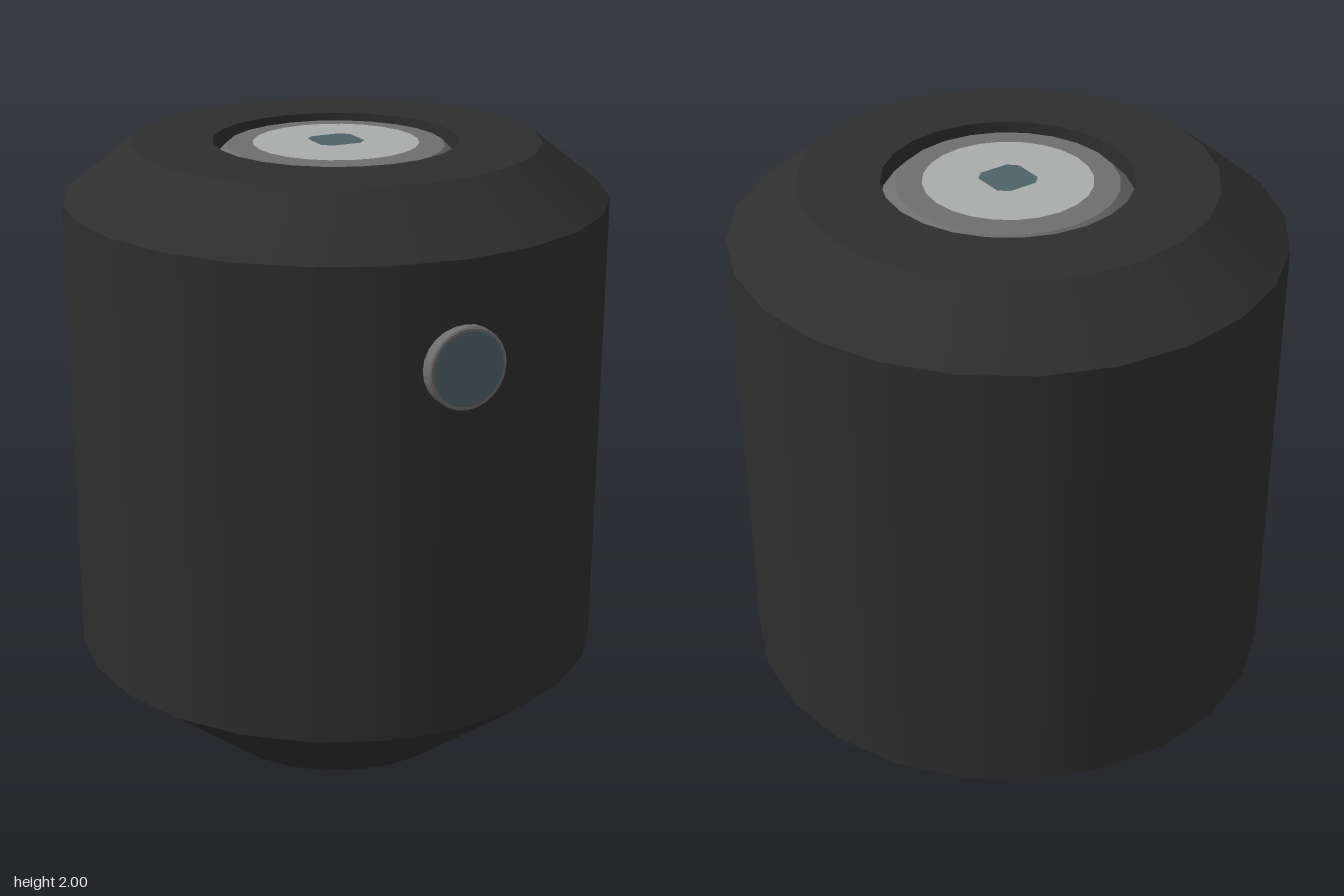
import * as THREE from 'three';
import { mergeGeometries } from 'three/addons/utils/BufferGeometryUtils.js';

const SIDES = 24;

function material(name, color) {
  const m = new THREE.MeshStandardMaterial({ color });
  m.name = name;
  return m;
}

// Lathe whose bands are each smooth around but meet at sharp edges
function turned(profile) {
  const bands = [];
  for (let i = 0; i < profile.length - 1; i++) {
    const pts = [profile[i], profile[i + 1]].map(([r, y]) => new THREE.Vector2(r, y));
    bands.push(new THREE.LatheGeometry(pts, SIDES));
  }
  return mergeGeometries(bands);
}

function part(parent, name, geometry, mat) {
  const mesh = new THREE.Mesh(geometry, mat);
  mesh.name = name;
  parent.add(mesh);
  return mesh;
}

export function createModel() {
  const black = material('charcoal', 0x2e2e2e);
  const steel = material('steel grey', 0x6e6e6e);
  const silver = material('light grey', 0xaaacab);
  const glass = material('dull teal', 0x4e6269);

  const model = new THREE.Group();
  model.name = 'canister';
  const core = new THREE.Group();
  core.name = 'core';
  core.position.z = -0.013;
  model.add(core);

  // Body: recess wall, bottom rim, bevel, side, bevel, top, recess wall
  part(core, 'body', turned([
    [0.385, 0.06], [0.385, 0], [0.43, 0], [0.855, 0.345],
    [0.855, 1.83], [0.64, 2], [0.385, 2], [0.385, 1.94],
  ]), black);

  // Small octagonal pane for the middle of each cap
  const a = 0.075, b = 0.048;
  const pane = new THREE.Shape([
    [a, -b], [a, b], [b, a], [-b, a], [-a, b], [-a, -b], [-b, -a], [b, -a],
  ].map(([x, y]) => new THREE.Vector2(x, y)));

  // Matching end caps set into the top and the bottom
  for (const end of ['top', 'bottom']) {
    const cap = new THREE.Group();
    cap.name = end + 'Cap';
    if (end === 'bottom') cap.rotation.x = Math.PI;
    else cap.position.y = 2;
    part(cap, end + 'CapRing', turned([[0.385, -0.06], [0.34, -0.015], [0, -0.015]]), steel);
    const disc = part(cap, end + 'CapDisc', new THREE.CircleGeometry(0.26, SIDES), silver);
    const centre = part(cap, end + 'CapPane', new THREE.ShapeGeometry(pane), glass);
    disc.rotation.x = centre.rotation.x = -Math.PI / 2;
    disc.position.y = -0.009;
    centre.position.y = -0.003;
    core.add(cap);
  }

  // Round porthole on the front
  const port = new THREE.Group();
  port.name = 'porthole';
  port.position.set(0, 1.515, 0.868);
  port.rotation.x = Math.PI / 2;
  part(port, 'portholeRim', turned([[0.125, -0.09], [0.125, -0.004], [0.12, 0], [0, 0]]), steel);
  const lens = part(port, 'portholeGlass', new THREE.CircleGeometry(0.113, SIDES), glass);
  lens.rotation.x = -Math.PI / 2;
  lens.position.y = 0.002;
  model.add(port);

  return model;
}
